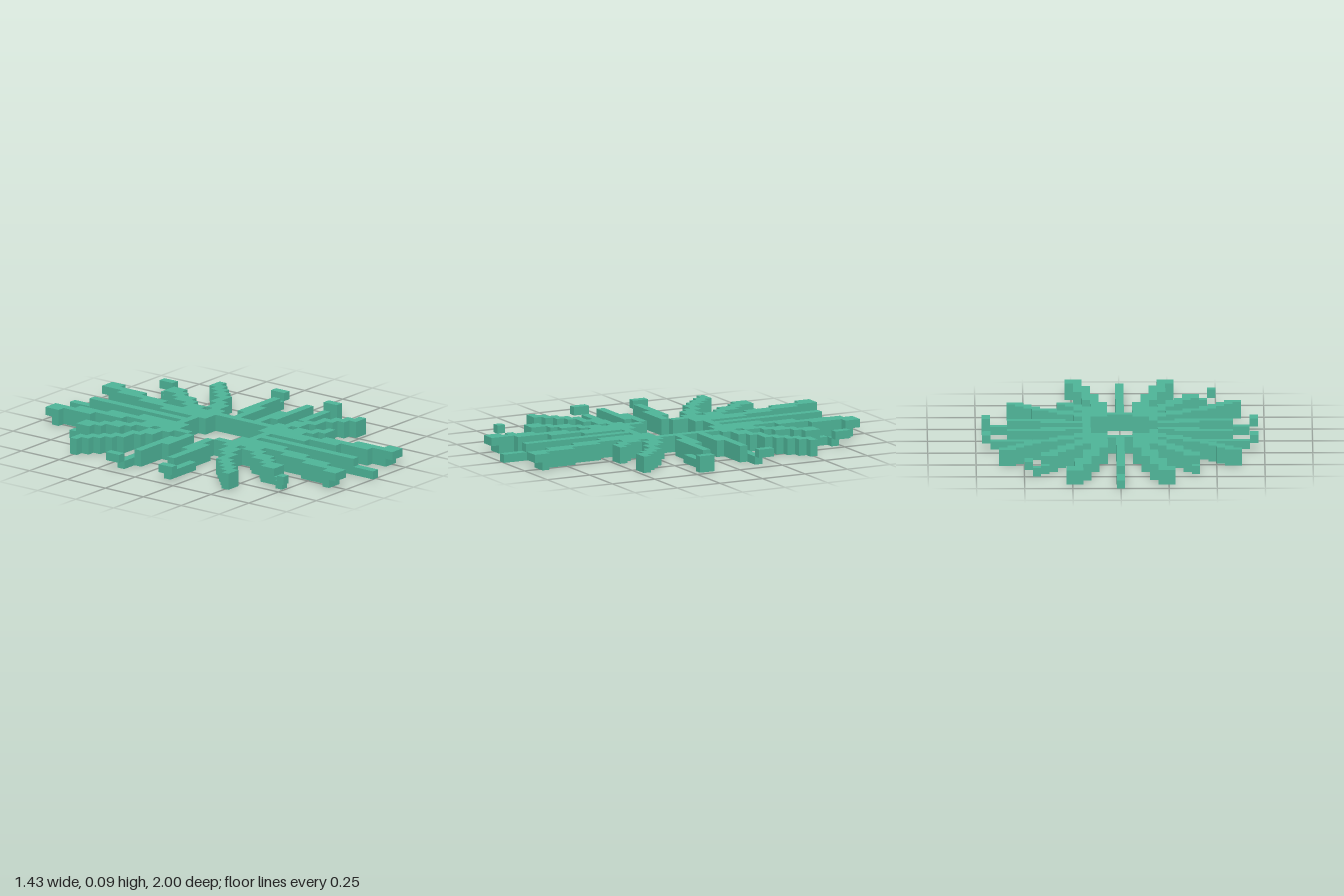
import * as THREE from 'three';
import { mergeGeometries } from 'three/addons/utils/BufferGeometryUtils.js';

const S = 2 / 46; // edge of one cube
const LOW = [0], HIGH = [1], BOTH = [0, 1];

// Each run: [first row, last row, first column, last column, layers],
// counted outward from the centre in one quadrant.
const centreSpoke = [[6, 19, 0, 0], [20, 22, 0, 0, LOW]];
const steepSpoke = [
  [6, 6, 2, 2], [7, 10, 2, 3], [11, 11, 3, 3], [12, 14, 3, 4],
  [15, 15, 4, 4], [16, 18, 4, 5], [19, 19, 5, 5], [20, 20, 5, 6], [21, 21, 5, 6, HIGH],
];
const innerDiagonal = [
  [6, 6, 3, 4], [7, 8, 4, 5], [9, 9, 5, 6], [10, 10, 6, 7],
];
const innerDiagonalEnd = [
  [11, 11, 6, 7], [12, 12, 7, 8], [13, 14, 8, 9], [15, 15, 9, 9, LOW],
];
const innerDiagonalTip = [[16, 16, 10, 10, LOW], [17, 17, 11, 11, HIGH]];
const outerDiagonal = [
  [4, 4, 5, 5], [5, 5, 5, 7], [6, 6, 6, 8], [7, 7, 8, 10],
  [8, 8, 10, 11], [9, 9, 11, 12], [10, 10, 12, 13],
];
const outerDiagonalTip = [[11, 11, 13, 14]];
const shallowSpoke = [[1, 1, 5, 9], [2, 2, 7, 13], [3, 3, 11, 15, LOW]];
const ringQuarter = [[5, 5, 0, 4], [4, 4, 2, 4], [2, 3, 4, 4]];

export function createModel() {
  const group = new THREE.Group();
  const jade = new THREE.MeshStandardMaterial({ color: 0x4db397 });
  jade.name = 'jade green';
  const parts = new Map();
  const filled = new Set();
  const key = (x, y, z) => `${x},${y},${z}`;

  // Fill the cubes of a part, mirrored into the quadrant (sx, sz)
  function fill(name, runs, sx, sz) {
    if (!parts.has(name)) parts.set(name, []);
    for (const [r0, r1, c0, c1, layers = BOTH] of runs)
      for (let r = r0; r <= r1; r++)
        for (let c = c0; c <= c1; c++)
          for (const y of layers) {
            const x = sx * c || 0, z = sz > 0 ? r : -1 - r;
            if (filled.has(key(x, y, z))) continue;
            filled.add(key(x, y, z));
            parts.get(name).push([x, y, z]);
          }
  }

  for (const sz of [1, -1]) {
    const end = sz > 0 ? 'front' : 'back';
    fill(`${end}CentreSpoke`, centreSpoke, 1, sz);
    for (const sx of [1, -1]) {
      const corner = end + (sx > 0 ? 'Left' : 'Right');
      const cut = sx > 0 && sz > 0; // this corner has shortened spokes
      fill('ring', ringQuarter, sx, sz);
      fill(`${corner}SteepSpoke`, steepSpoke, sx, sz);
      fill(`${corner}InnerDiagonal`, innerDiagonal, sx, sz);
      fill(`${corner}OuterDiagonal`, outerDiagonal, sx, sz);
      if (!cut) {
        fill(`${corner}InnerDiagonal`, innerDiagonalEnd, sx, sz);
        fill(`${corner}OuterDiagonal`, outerDiagonalTip, sx, sz);
      }
      if (sx !== sz) fill(`${corner}InnerDiagonal`, innerDiagonalTip, sx, sz);
      fill(`${corner}ShallowSpoke`, shallowSpoke, sx, sz);
      fill(`${corner}ShallowSpoke`, [[3, 4, 16, 16, cut ? BOTH : HIGH]], sx, sz);
    }
  }
  // Closed side of the ring, and the extra cube on one tip
  for (const sz of [1, -1]) fill('ring', [[0, 1, 4, 4]], 1, sz);
  fill('backLeftInnerDiagonal', [[16, 16, 11, 11, HIGH]], 1, -1);

  // One outward square for each cube side
  const sides = [[1, 0, 0], [-1, 0, 0], [0, 1, 0], [0, -1, 0], [0, 0, 1], [0, 0, -1]].map((d) => {
    const n = new THREE.Vector3(...d);
    const turn = new THREE.Quaternion().setFromUnitVectors(new THREE.Vector3(0, 0, 1), n);
    const face = new THREE.PlaneGeometry(S, S).applyQuaternion(turn);
    return { d, face: face.translate(...n.multiplyScalar(S / 2).toArray()) };
  });

  // Only sides without a neighbouring cube are built
  for (const [name, cells] of parts) {
    const faces = [];
    for (const [x, y, z] of cells)
      for (const { d, face } of sides)
        if (!filled.has(key(x + d[0], y + d[1], z + d[2])))
          faces.push(face.clone().translate(x * S, (y + 0.5) * S, (z + 0.5) * S));
    const mesh = new THREE.Mesh(mergeGeometries(faces), jade);
    mesh.name = name;
    group.add(mesh);
  }
  return group;
}
